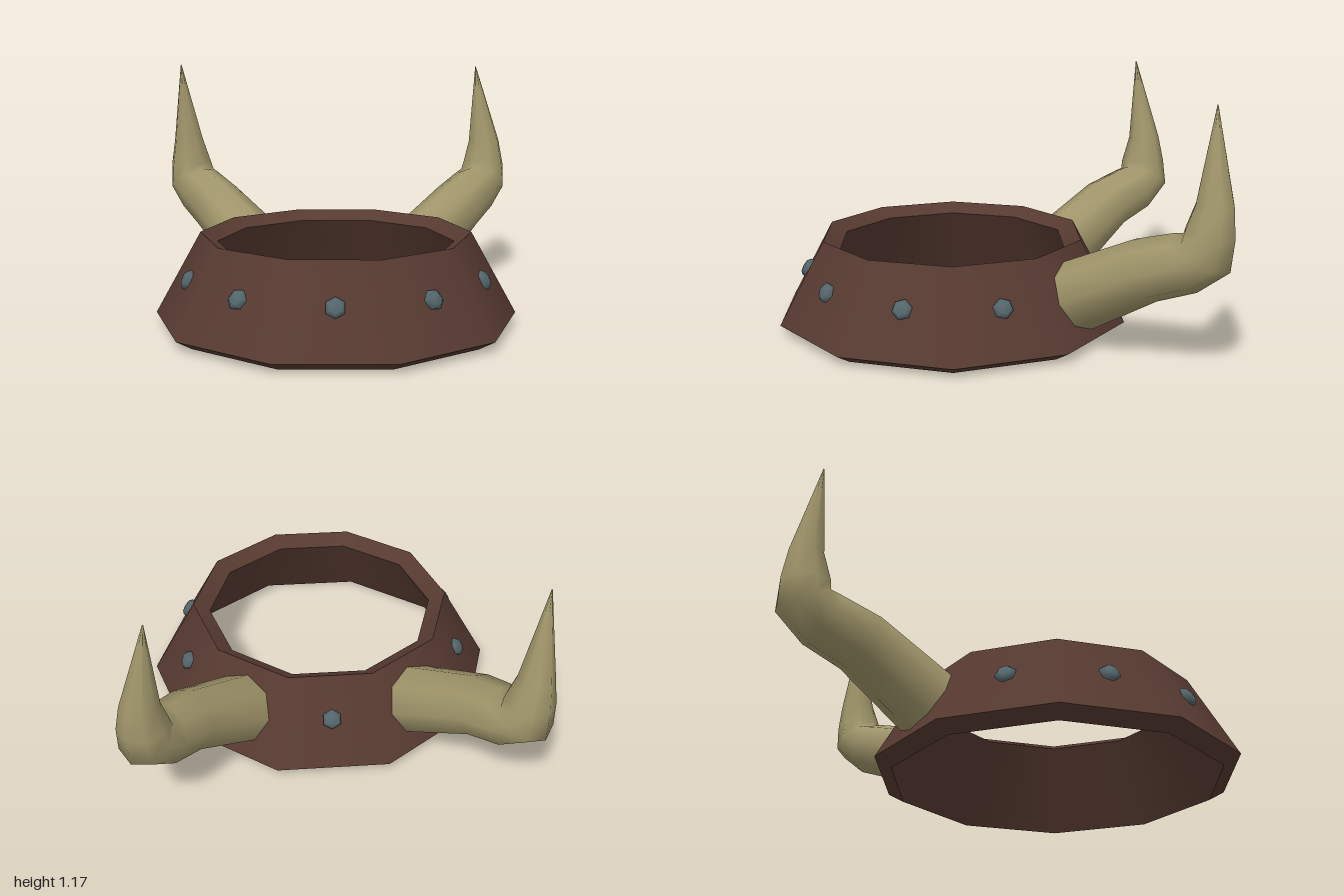
import * as THREE from 'three';

const CENTRE_Z = 0.185; // axis of the band
const SIDES = 10;

// Eight-sided horn lofted through sections [x, y, z, radius]
function hornGeometry(sections, side, n = 8) {
  const pts = sections.map(([x, y, z]) => new THREE.Vector3(x * side, y, z));
  const positions = [], index = [];
  const across = new THREE.Vector3(0.809 * side, 0, 0.588);
  pts.forEach((p, i) => {
    const before = pts[Math.max(i - 1, 0)], after = pts[Math.min(i + 1, pts.length - 1)];
    const t = p.clone().sub(before).normalize().add(after.clone().sub(p).normalize()).normalize();
    if (i === 0) t.set(0.513 * side, 0.488, -0.706); // root lies flat on the band
    const u = across.clone().addScaledVector(t, -across.dot(t)).normalize();
    const v = t.clone().cross(u);
    for (let k = 0; k < n; k++) {
      const a = (k / n) * Math.PI * 2, r = sections[i][3];
      const q = p.clone().addScaledVector(u, r * Math.cos(a)).addScaledVector(v, r * Math.sin(a));
      positions.push(q.x, q.y, q.z);
    }
  });
  for (let i = 0; i < pts.length - 1; i++) {
    for (let k = 0; k < n; k++) {
      const a = i * n + k, b = i * n + (k + 1) % n;
      index.push(a, b, b + n, a, b + n, a + n);
    }
  }
  const g = new THREE.BufferGeometry();
  g.setAttribute('position', new THREE.Float32BufferAttribute(positions, 3));
  g.setIndex(index);
  g.computeVertexNormals();
  return g;
}

export function createModel() {
  const model = new THREE.Group();
  model.name = 'hornedBand';
  const leather = new THREE.MeshStandardMaterial({ name: 'brown leather', color: 0x573a31 });
  const horn = new THREE.MeshStandardMaterial({ name: 'horn', color: 0xa0956a });
  const steel = new THREE.MeshStandardMaterial({ name: 'dull steel', color: 0x53666c });

  // Tapered ten-sided band: one lathe per profile edge keeps the rims sharp
  const band = new THREE.Group();
  band.name = 'band';
  band.position.set(-0.005, 0, CENTRE_Z);
  const profile = [[0.85, 0.045], [0.635, 0.432], [0.555, 0.388], [0.772, 0]]
    .map(([r, y]) => new THREE.Vector2(r, y));
  ['outerWall', 'topRim', 'innerWall', 'bottomRim'].forEach((name, i) => {
    const edge = [profile[i], profile[(i + 1) % 4]];
    const wall = new THREE.Mesh(new THREE.LatheGeometry(edge, SIDES, Math.PI / SIDES), leather);
    wall.name = name;
    band.add(wall);
  });
  model.add(band);

  // Six-sided domed studs on every panel except the two that carry horns
  const studProfile = [[0.046, -0.01], [0.046, 0.012], [0.03, 0.026], [0, 0.03]]
    .map(([r, y]) => new THREE.Vector2(r, y));
  const studGeometry = new THREE.LatheGeometry(studProfile, 6);
  for (let i = 0; i < SIDES; i++) {
    if (i === 4 || i === 6) continue;
    const a = (i / SIDES) * Math.PI * 2;
    const normal = new THREE.Vector3(Math.sin(a) * 0.873, 0.488, Math.cos(a) * 0.873);
    const stud = new THREE.Mesh(studGeometry, steel);
    stud.name = 'stud';
    stud.position.set(Math.sin(a) * 0.7 - 0.005, 0.25, Math.cos(a) * 0.7 + CENTRE_Z);
    stud.quaternion.setFromUnitVectors(new THREE.Vector3(0, 1, 0), normal);
    model.add(stud);
  }

  // Horns run out from the rear panels, then bend upwards; the tips lean differently
  const root = [
    [0.4, 0.215, -0.36, 0.168], [0.65, 0.415, -0.65, 0.143],
    [0.75, 0.475, -0.8, 0.135], [0.81, 0.535, -0.875, 0.128],
  ];
  const tips = {
    leftHorn: [1, [[0.815, 0.62, -0.885, 0.112], [0.817, 0.74, -0.9, 0.085], [0.765, 1.15, -0.905, 0.002]]],
    rightHorn: [-1, [[0.815, 0.62, -0.87, 0.112], [0.828, 0.75, -0.875, 0.08], [0.855, 1.165, -0.825, 0.002]]],
  };
  for (const [name, [side, tip]] of Object.entries(tips)) {
    const mesh = new THREE.Mesh(hornGeometry([...root, ...tip], side), horn);
    mesh.name = name;
    model.add(mesh);
  }
  return model;
}
